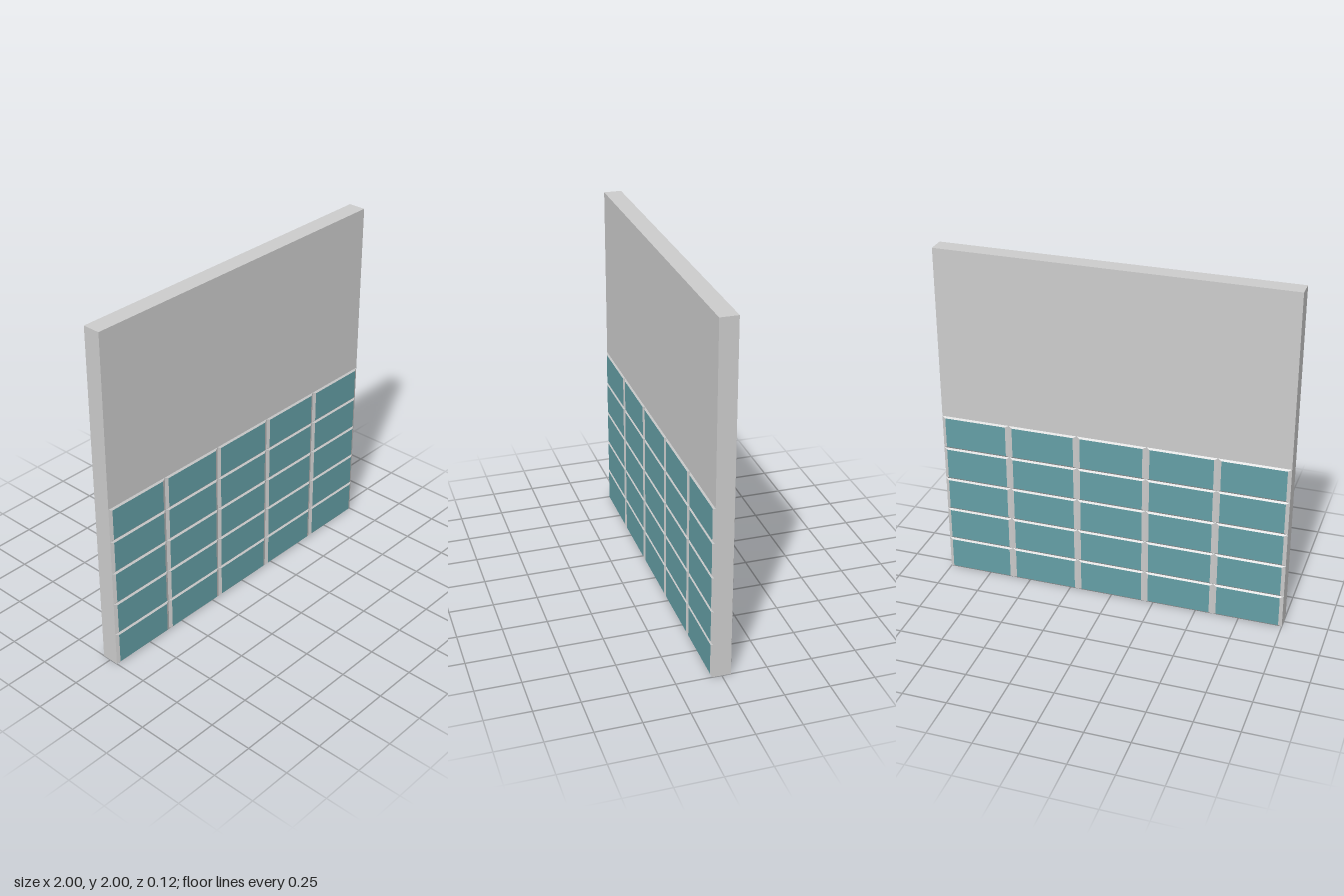
import * as THREE from 'three';
import { mergeGeometries } from 'three/addons/utils/BufferGeometryUtils.js';

const HALF = 0.05;      // half thickness of the wall
const RISE = 0.008;     // how far each tile stands out
const COLS = 5, ROWS = 5;
const TILE_W = 2 / COLS, TILE_H = 1 / ROWS;
const INSET = 0.9;      // tile face size relative to its cell

const grey = new THREE.MeshStandardMaterial({ color: 0xcccccc, side: THREE.DoubleSide, flatShading: true });
const teal = new THREE.MeshStandardMaterial({ color: 0x649ea5, side: THREE.DoubleSide, flatShading: true });

function part(name, geometry, material) {
  const mesh = new THREE.Mesh(geometry, material);
  mesh.name = name;
  return mesh;
}

// Four sloping sides between a cell outline and the smaller raised face
function bevelGeometry() {
  const corners = [[-1, -1], [1, -1], [1, 1], [-1, 1]];
  const ring = (scale, z) => corners.map(([x, y]) => [x * scale * TILE_W / 2, y * scale * TILE_H / 2, z]);
  const outer = ring(1, HALF), inner = ring(INSET, HALF + RISE);
  const points = [];
  for (let i = 0; i < 4; i++) {
    const j = (i + 1) % 4;
    points.push(outer[i], outer[j], inner[j], outer[i], inner[j], inner[i]);
  }
  const geometry = new THREE.BufferGeometry();
  geometry.setAttribute('position', new THREE.Float32BufferAttribute(points.flat(), 3));
  geometry.computeVertexNormals();
  return geometry;
}

// One face of the wall: plain upper panel and tiled lower half
function wallFace(name) {
  const face = new THREE.Group();
  face.name = name;
  const faces = [], bevels = [];
  for (let r = 0; r < ROWS; r++) {
    for (let c = 0; c < COLS; c++) {
      const x = -1 + (c + 0.5) * TILE_W, y = (r + 0.5) * TILE_H;
      faces.push(new THREE.PlaneGeometry(TILE_W * INSET, TILE_H * INSET).translate(x, y, HALF + RISE));
      bevels.push(bevelGeometry().translate(x, y, 0));
    }
  }
  face.add(
    part('upperPanel', new THREE.PlaneGeometry(2, 1).translate(0, 1.5, HALF), grey),
    part('tileFaces', mergeGeometries(faces), teal),
    part('tileBevels', mergeGeometries(bevels), grey),
  );
  return face;
}

export function createModel() {
  const wall = new THREE.Group();
  wall.name = 'tiledWall';

  const front = wallFace('frontFace');
  const back = wallFace('backFace');
  back.rotation.y = Math.PI;
  wall.add(front, back);

  // Top and ends; the underside of the hollow wall stays open
  wall.add(part('topCap', new THREE.PlaneGeometry(2, 2 * HALF).rotateX(-Math.PI / 2).translate(0, 2, 0), grey));
  for (const side of [1, -1]) {
    const end = new THREE.PlaneGeometry(2 * HALF, 2).rotateY(side * Math.PI / 2).translate(side, 1, 0);
    wall.add(part(side > 0 ? 'leftEnd' : 'rightEnd', end, grey));
  }
  return wall;
}
